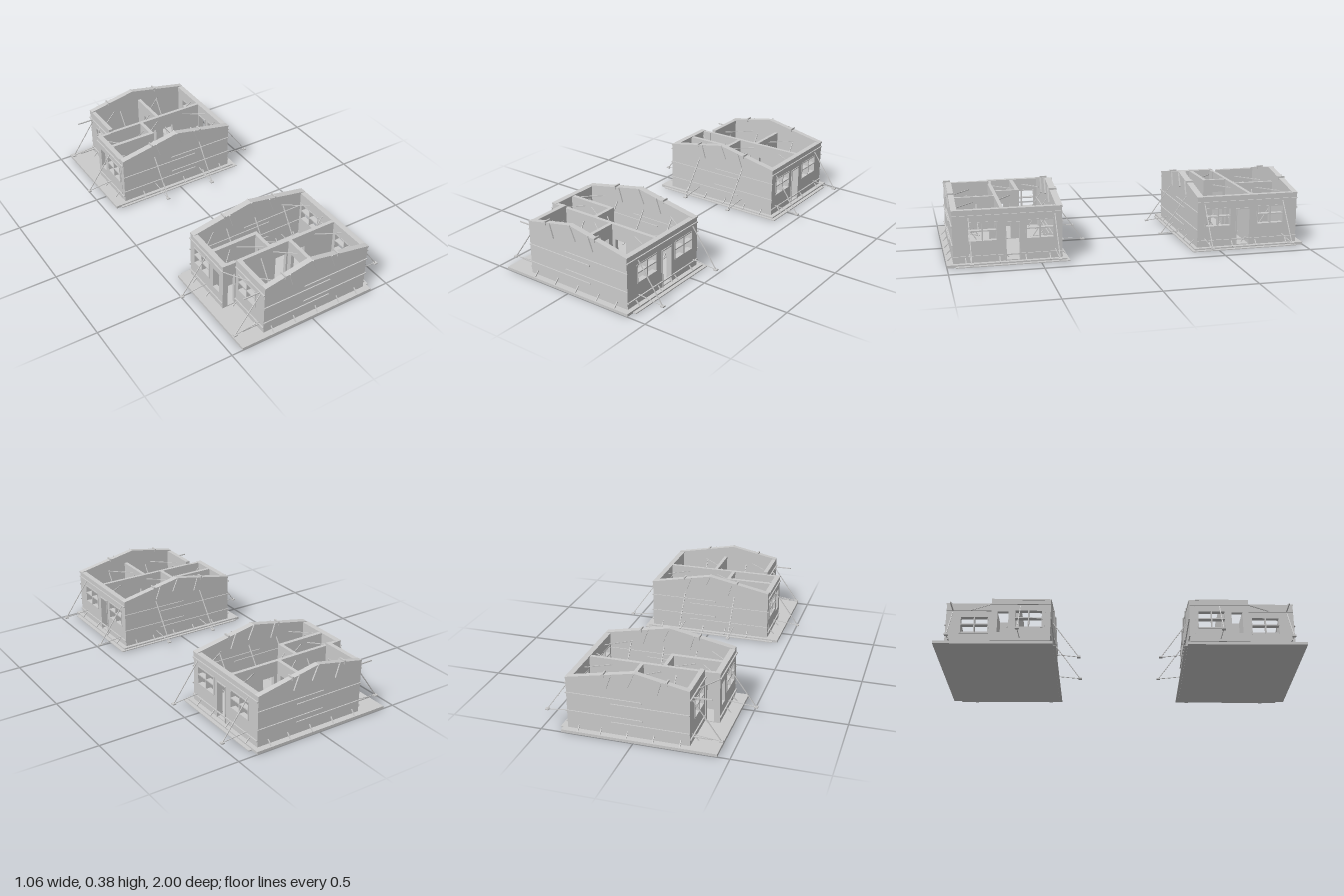
import * as THREE from 'three';

const mat = new THREE.MeshStandardMaterial({ color: 0xcccccc, flatShading: true, side: THREE.DoubleSide });
const FLOOR = 0.015, EAVE = 0.3, PEAK = 0.372;
const roofY = x => PEAK - (PEAK - EAVE) * Math.abs(x) / 0.365;

// One house; s = +1 or -1 mirrors it in z
function house(s) {
  const g = new THREE.Group();
  const add = (name, geo) => {
    const m = new THREE.Mesh(geo, mat);
    m.name = name;
    g.add(m);
    return m;
  };
  const box = (name, x0, x1, y0, y1, z0, z1) =>
    add(name, new THREE.BoxGeometry(x1 - x0, y1 - y0, z1 - z0))
      .position.set((x0 + x1) / 2, (y0 + y1) / 2, s * (z0 + z1) / 2);
  // Square bar between two points
  const bar = (name, a, b, w = 0.005) => {
    const p = new THREE.Vector3(a[0], a[1], a[2] * s), q = new THREE.Vector3(b[0], b[1], b[2] * s);
    const m = add(name, new THREE.BoxGeometry(w, w, p.distanceTo(q)));
    m.position.copy(p).add(q).multiplyScalar(0.5);
    m.lookAt(q);
  };
  const outline = (pts, holes, sign) => {
    const shape = new THREE.Shape(pts.map(([u, y]) => new THREE.Vector2(u * sign, y)));
    for (const [u0, u1, y0, y1] of holes) {
      shape.holes.push(new THREE.Path([[u0, y0], [u1, y0], [u1, y1], [u0, y1]]
        .map(([u, y]) => new THREE.Vector2(u * sign, y))));
    }
    return shape;
  };
  // Wall running along x, from an outline in x and y
  const wallX = (name, pts, z0, z1, holes = []) => {
    const geo = new THREE.ExtrudeGeometry(outline(pts, holes, 1), { depth: z1 - z0, bevelEnabled: false });
    add(name, geo.translate(0, 0, s > 0 ? z0 : -z1));
  };
  // Wall running along z, holes given as z0, z1, y0, y1
  const wallZ = (name, x0, x1, z0, z1, top, holes = []) => {
    const pts = [[z0, FLOOR], [z1, FLOOR], [z1, top], [z0, top]];
    const geo = new THREE.ExtrudeGeometry(outline(pts, holes, s), { depth: x1 - x0, bevelEnabled: false });
    add(name, geo.rotateY(-Math.PI / 2).translate(x1, 0, 0));
  };
  const rect = (x0, x1, top = EAVE) => [[x0, FLOOR], [x1, FLOOR], [x1, top], [x0, top]];
  const gable = x0 => [[x0, FLOOR], [0.365, FLOOR], [0.365, EAVE], [0, PEAK], [x0, roofY(x0)]];

  // Floor slabs
  box('foundationSlab', -0.435, 0.39, 0, FLOOR, 0.36, 1.0);
  box('footingSlab', -0.405, 0.41, 0.002, 0.007, 0.345, 0.955);

  // Outer walls with windows and doors
  const winA = [0.73, 0.885, 0.13, 0.232], winB = [0.425, 0.575, 0.13, 0.232], door = [0.607, 0.685, 0.02, 0.225];
  wallX('frontGable', gable(-0.287), 0.94, 0.965);
  wallX('backGable', gable(-0.365), 0.38, 0.41);
  wallZ('rightWall', 0.34, 0.365, 0.41, 0.94, EAVE, [winA, winB, door]);
  wallZ('leftWall', -0.367, -0.342, 0.41, 0.705, EAVE, [winB, [0.61, 0.67, 0.1, 0.225]]);
  wallZ('porchSideWall', -0.287, -0.262, 0.705, 0.94, roofY(0.287), [[0.73, 0.885, 0.13, 0.232]]);
  wallX('porchEndWall', rect(-0.342, -0.287), 0.685, 0.705, [[-0.336, -0.293, 0.02, 0.225]]);

  // Partitions
  wallX('longPartition', rect(-0.287, 0.34), 0.69, 0.71, [[-0.04, 0.03, 0.02, 0.215], [0.08, 0.15, 0.02, 0.215]]);
  wallZ('roomPartition', 0.04, 0.06, 0.71, 0.94, EAVE, [[0.74, 0.86, 0.02, 0.225]]);
  wallX('closetPartition', rect(-0.342, -0.06), 0.553, 0.575);
  wallZ('closetEnd', -0.08, -0.06, 0.575, 0.69, EAVE, [[0.605, 0.675, 0.02, 0.225]]);

  // Raised plates along wall tops
  for (const [z0, z1, x0] of [[0.937, 0.968, -0.287], [0.377, 0.413, -0.365]]) {
    for (const [xa, xb] of [[x0, 0], [0, 0.368]]) {
      wallX('roofPlate', [[xa, roofY(xa) - 0.006], [xb, roofY(xb) - 0.006], [xb, roofY(xb) + 0.003], [xa, roofY(xa) + 0.003]], z0, z1);
    }
  }
  box('wallPlate', 0.337, 0.368, EAVE - 0.005, EAVE + 0.002, 0.413, 0.937);
  box('wallPlate', -0.37, -0.339, EAVE - 0.005, EAVE + 0.002, 0.413, 0.705);

  // Window frames and mullions
  for (const [x, wins] of [[0.353, [winA, winB]], [-0.355, [winB]], [-0.275, [winA]]]) {
    for (const [z0, z1, y0, y1] of wins) {
      const zm = (z0 + z1) / 2, ym = y0 + (y1 - y0) * 0.55;
      for (const z of [z0, zm, z1]) box('windowPost', x - 0.015, x + 0.015, y0, y1, z - 0.003, z + 0.003);
      for (const y of [y0, ym, y1]) box('windowRail', x - 0.015, x + 0.015, y - 0.003, y + 0.003, z0, z1);
    }
  }
  for (const z of [0.607, 0.685]) box('doorPost', 0.336, 0.37, FLOOR, 0.228, z - 0.003, z + 0.003);
  box('doorHead', 0.336, 0.37, 0.222, 0.228, 0.607, 0.685);

  // Horizontal wales in staggered overlaps
  const rows = [[0.215, 1], [0.185, 0], [0.113, 1], [0.082, 0]];
  for (const [y, right] of rows) {
    const [x0, x1] = right ? [-0.04, 0.37] : [-0.287, 0.125];
    box('frontWale', x0, x1, y - 0.003, y + 0.003, 0.965, 0.971);
    box('backWale', right ? x0 : -0.37, x1, y - 0.003, y + 0.003, 0.374, 0.38);
    box('backInnerWale', right ? x0 : -0.34, right ? 0.34 : x1, y - 0.003, y + 0.003, 0.41, 0.415);
  }
  for (const y of [0.27, 0.05]) {
    box('sideWale', 0.365, 0.372, y - 0.003, y + 0.003, 0.38, 0.965);
    box('sideWale', -0.374, -0.367, y - 0.003, y + 0.003, 0.38, 0.705);
    box('porchWale', -0.294, -0.287, y - 0.003, y + 0.003, 0.705, 0.965);
    box('porchRail', -0.39, -0.285, y - 0.003, y + 0.003, 0.925, 0.931);
  }

  // Slanted cleats hanging from the gable tops
  for (const [x, dx] of [[-0.14, 0.025], [0, 0.035], [0.12, 0.03]]) {
    for (const z of [0.969, 0.376, 0.417]) {
      bar('gableCleat', [x, roofY(x) + 0.003, z], [x + dx, roofY(x) - 0.078, z], 0.008);
    }
  }
  for (const x of [-0.168, 0.162]) {
    for (const z of [0.952, 0.395]) box('gableStub', x - 0.004, x + 0.004, roofY(x) - 0.01, roofY(x) + 0.012, z - 0.02, z + 0.02);
  }

  // Raking props with a foot: wall point, outward direction
  const prop = (x, z, dx, dz, base) => {
    const len = 0.15, ex = x + dx * len, ez = z + dz * len;
    bar('rakingProp', [x, 0.26, z], [ex, base, ez], 0.0045);
    bar('propStrut', [x, base + 0.015, z], [ex, base, ez], 0.0035);
    box('propFoot', ex - 0.01, ex + 0.01, base - 0.004, base + 0.003, ez - 0.01, ez + 0.01);
  };
  for (const [x, z, dx, dz] of [
    [0.367, 0.42, 1, 0], [0.367, 0.88, 1, 0], [-0.37, 0.545, -1, 0], [-0.287, 0.93, -1, 0],
    [-0.155, 0.38, 0, -1], [0.155, 0.38, 0, -1],
  ]) prop(x, z, dx, dz, 0.05);
  // Indoor props
  for (const [x, z, dx, dz] of [
    [-0.155, 0.41, 0, 1], [0.03, 0.41, 0, 1], [0.22, 0.41, 0, 1],
    [-0.135, 0.71, 0, 1], [-0.09, 0.94, 0, -1], [0.06, 0.81, 1, 0], [0.175, 0.94, 0, -1],
  ]) prop(x, z, dx, dz, 0.04);

  // Diagonal ties across the corners
  for (const [xa, za, xb, zb] of [
    [-0.262, 0.82, -0.13, 0.94], [-0.06, 0.71, 0.04, 0.79], [0.06, 0.83, 0.18, 0.94], [0.21, 0.71, 0.34, 0.78],
    [0.21, 0.41, 0.34, 0.5], [-0.342, 0.5, -0.24, 0.41], [0.22, 0.69, 0.34, 0.61], [-0.37, 0.7, -0.287, 0.84],
    [-0.06, 0.61, 0.04, 0.69], [-0.34, 0.68, -0.24, 0.575], [-0.2, 0.575, -0.08, 0.65],
  ]) bar('cornerTie', [xa, 0.27, za], [xb, 0.27, zb], 0.004);

  // Small kickers around the wall feet
  const kicker = (x, z, dx, dz) => bar('kicker', [x, 0.042, z], [x + dx * 0.027, 0.014, z + dz * 0.027]);
  for (const x of [-0.24, -0.1, 0.04, 0.18, 0.3]) {
    kicker(x, 0.965, 0, 1);
    kicker(x, 0.38, 0, -1);
    kicker(x, 0.41, 0, 1);
    kicker(x, 0.94, 0, -1);
    kicker(x, 0.69, 0, -1);
  }
  for (const z of [0.45, 0.58, 0.72, 0.9]) {
    kicker(0.365, z, 1, 0);
    kicker(0.34, z, -1, 0);
    kicker(z < 0.7 ? -0.367 : -0.287, z, -1, 0);
  }
  return g;
}

export function createModel() {
  const model = new THREE.Group();
  for (const [name, s] of [['frontHouse', 1], ['backHouse', -1]]) {
    const h = house(s);
    h.name = name;
    model.add(h);
  }
  return model;
}
